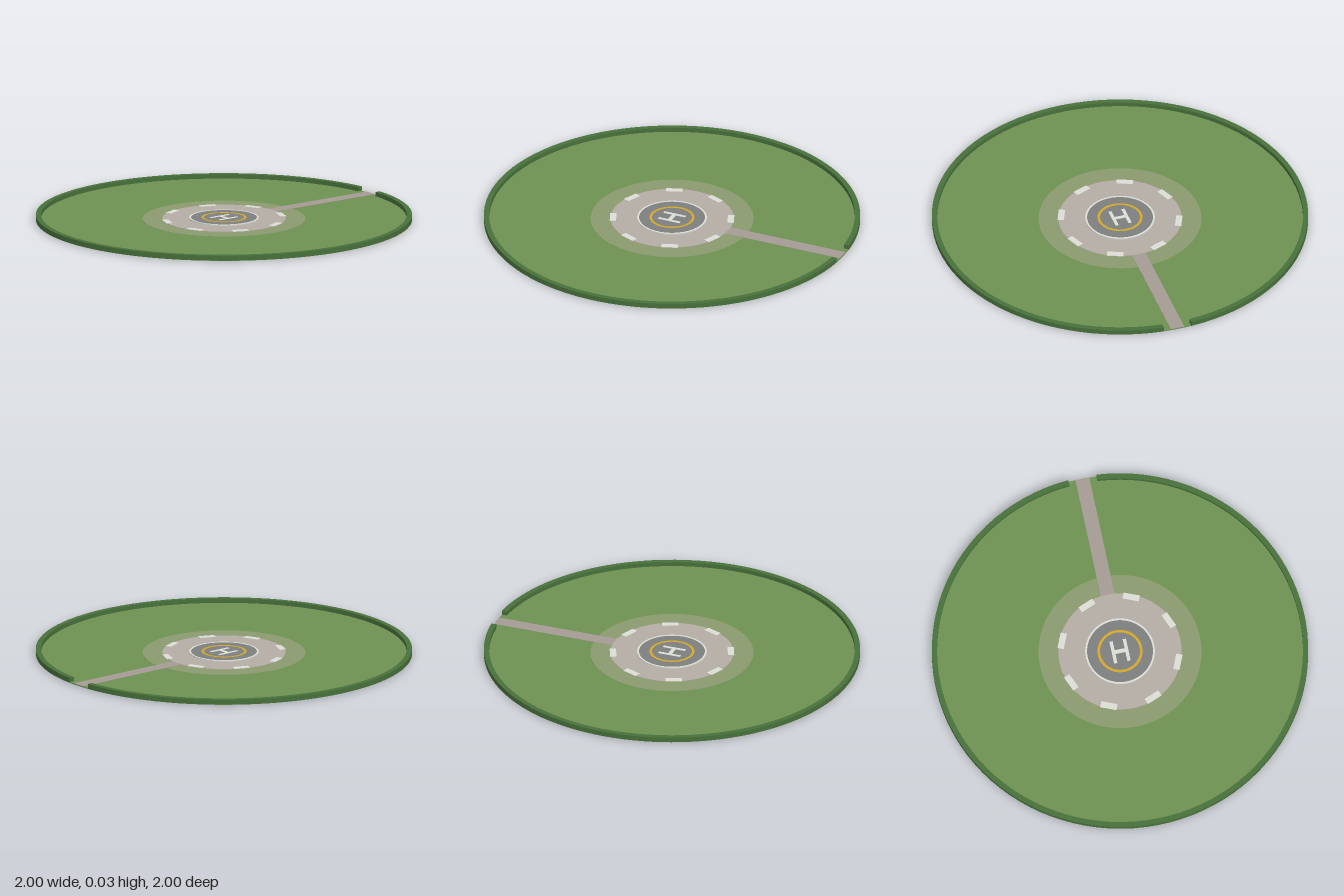
import * as THREE from 'three';

const material = (color) => new THREE.MeshStandardMaterial({ color, roughness: 0.9 });
const colors = {
  grass: material(0x6e9152), hedge: material(0x47703a), worn: material(0x8b9a6e),
  paving: material(0xb3ada5), path: material(0xa59c93), pad: material(0x7c7f7d),
  yellow: material(0xd4a82a), white: material(0xdcddd6),
};

export function createModel() {
  const group = new THREE.Group();

  const add = (name, geometry, mat, x = 0, y = 0, z = 0) => {
    const mesh = new THREE.Mesh(geometry, mat);
    mesh.name = name;
    mesh.position.set(x, y, z);
    group.add(mesh);
    return mesh;
  };
  // Disc between two heights
  const disc = (name, radius, bottom, top, mat) =>
    add(name, new THREE.CylinderGeometry(radius, radius, top - bottom, 96), mat, 0, (bottom + top) / 2);
  // Box between two heights
  const slab = (name, w, d, bottom, top, mat, x = 0, z = 0) =>
    add(name, new THREE.BoxGeometry(w, top - bottom, d), mat, x, (bottom + top) / 2, z);
  // Flat-topped ring, with an optional opening (half angle) on the +x side
  const ring = (name, inner, outer, bottom, top, mat, gap = 0) => {
    const shape = new THREE.Shape();
    if (gap) {
      shape.absarc(0, 0, outer, gap, Math.PI * 2 - gap, false);
      shape.absarc(0, 0, inner, Math.PI * 2 - gap, gap, true);
      shape.closePath();
    } else {
      shape.absarc(0, 0, outer, 0, Math.PI * 2, false);
      shape.holes.push(new THREE.Path().absarc(0, 0, inner, 0, Math.PI * 2, true));
    }
    const geometry = new THREE.ExtrudeGeometry(shape, { depth: top - bottom, bevelEnabled: false, curveSegments: 48 });
    geometry.rotateX(-Math.PI / 2);
    add(name, geometry, mat, 0, bottom);
  };

  // Ground layers, each inner one a little thicker
  disc('lawn', 0.998, 0.002, 0.007, colors.grass);
  disc('wornGrass', 0.433, 0.001, 0.008, colors.worn);
  slab('path', 0.7, 0.075, 0.0015, 0.009, colors.path, 0.646);
  disc('plaza', 0.328, 0, 0.01, colors.paving);

  // Boundary hedge, open where the path leaves
  ring('hedge', 0.972, 1, 0.003, 0.03, colors.hedge, 0.077);

  // Landing pad with its painted rings
  disc('landingPad', 0.18, 0.005, 0.0145, colors.pad);
  ring('padRim', 0.175, 0.185, 0.005, 0.0155, colors.white);
  ring('yellowRing', 0.106, 0.12, 0.014, 0.0155, colors.yellow);

  // Centre marking: two bars and a stem
  for (const side of [-1, 1]) slab('markingBar', 0.126, 0.018, 0.014, 0.0157, colors.white, 0, side * 0.036);
  slab('markingStem', 0.022, 0.056, 0.014, 0.0156, colors.white);

  // Dashes around the plaza edge
  for (let i = 0; i < 8; i++) {
    const angle = (i + 0.5) * Math.PI / 4;
    const dash = slab('edgeDash', 0.034, 0.088, 0.009, 0.012, colors.white,
      Math.cos(angle) * 0.313, Math.sin(angle) * 0.313);
    dash.rotation.y = -angle;
  }
  return group;
}
